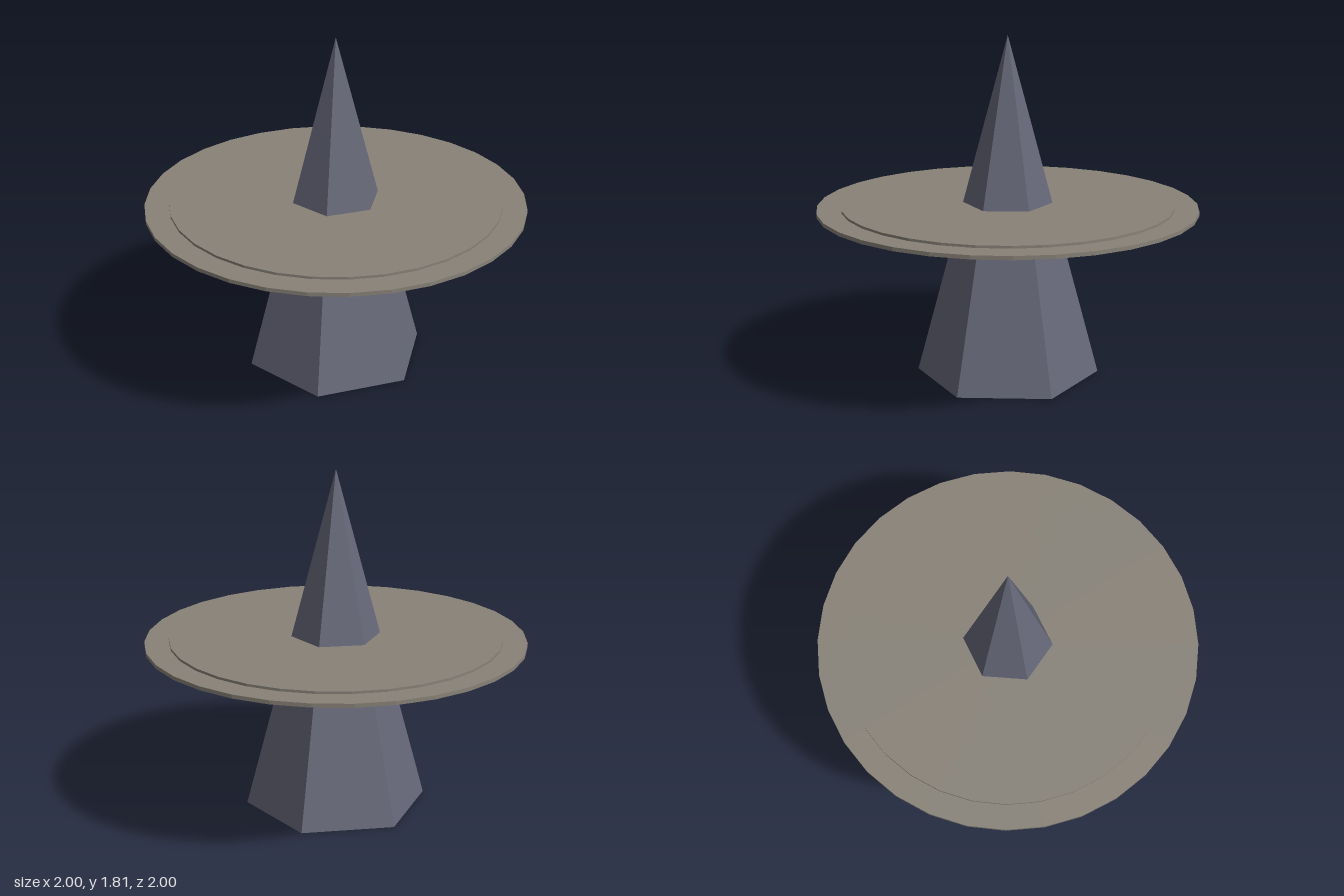
import * as THREE from 'three';

export function createModel() {
  const group = new THREE.Group();
  const slate = new THREE.MeshStandardMaterial({ color: 0x666878, flatShading: true });
  slate.name = 'slate';
  const stone = new THREE.MeshStandardMaterial({ color: 0x888278, flatShading: true });
  stone.name = 'stone';

  const height = 1.81;
  const discY = 0.909;

  function add(name, geometry, material, y) {
    const mesh = new THREE.Mesh(geometry, material);
    mesh.name = name;
    mesh.position.y = y;
    group.add(mesh);
  }

  // Six-sided spire with a corner facing the front
  add('spire', new THREE.ConeGeometry(0.485, height, 6), slate, height / 2);

  // Thick disc with a thin, wider rim around it
  add('disc', new THREE.CylinderGeometry(0.873, 0.873, 0.046, 32), stone, discY);
  add('rim', new THREE.CylinderGeometry(1, 1, 0.02, 32), stone, discY);

  return group;
}
